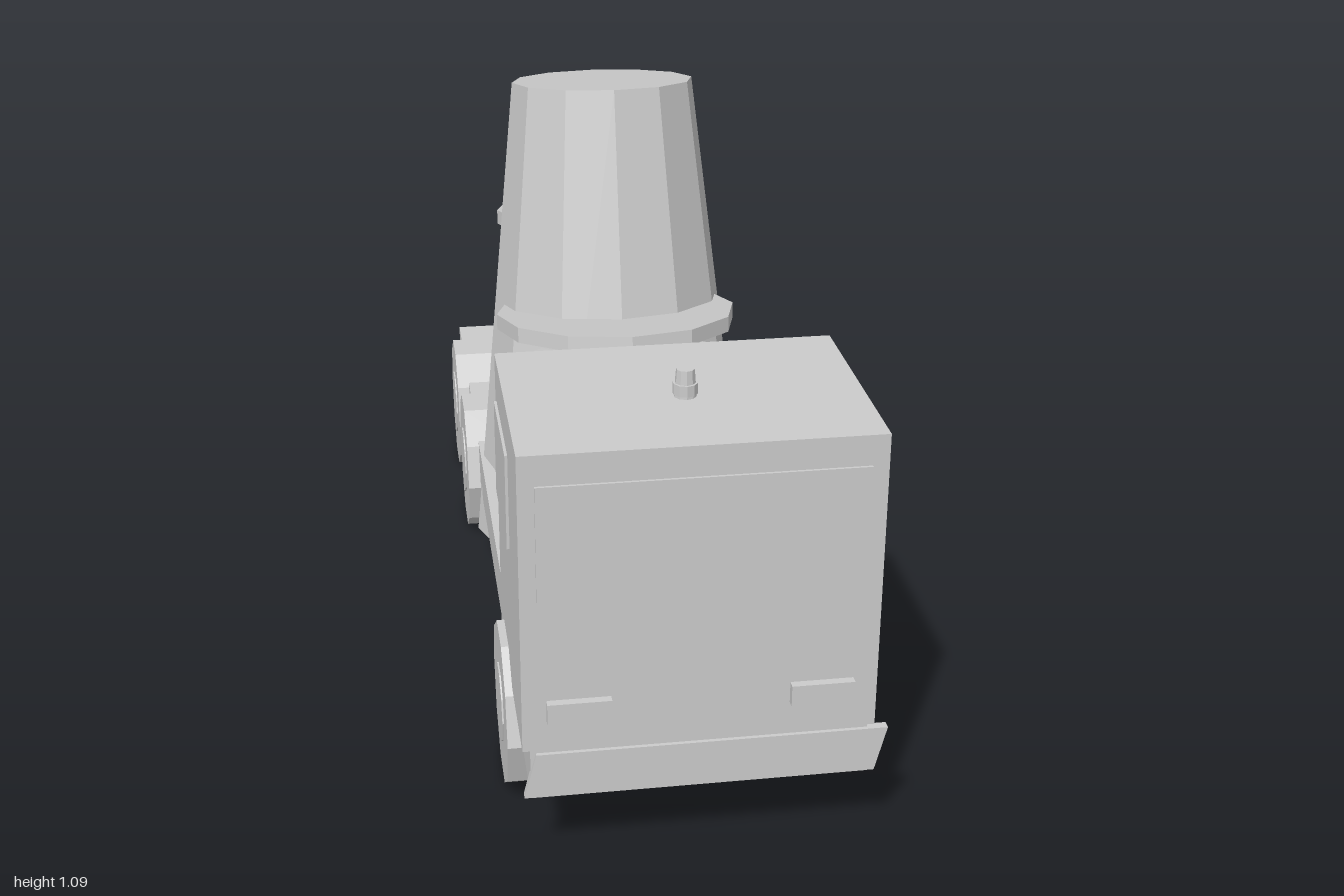
import * as THREE from 'three';

const CX = -0.004; // centre line of the truck body
const TILT = -0.143; // lean of the drum and its discs

export function createModel() {
  const model = new THREE.Group();
  model.name = 'mixerTruck';
  const grey = new THREE.MeshStandardMaterial({ color: 0xcccccc, flatShading: true });

  const add = (name, geometry, x, y, z, parent = model) => {
    const mesh = new THREE.Mesh(geometry, grey);
    mesh.name = name;
    mesh.position.set(x, y, z);
    parent.add(mesh);
    return mesh;
  };
  // Box given by its width and its y and z ranges
  const box = (name, x, width, y0, y1, z0, z1) =>
    add(name, new THREE.BoxGeometry(width, y1 - y0, z1 - z0), x, (y0 + y1) / 2, (z0 + z1) / 2);

  // Chassis and cab
  box('chassis', CX, 0.586, 0.15, 0.245, -0.945, 0.985);
  box('cab', CX, 0.612, 0.245, 0.8, 0.56, 0.985);
  box('windshield', CX, 0.555, 0.525, 0.745, 0.975, 0.99);
  for (const s of [-1, 1]) {
    box('sideWindow', CX + s * 0.304, 0.014, 0.54, 0.718, 0.585, 0.81);
    box('headlight', CX + s * 0.209, 0.11, 0.303, 0.343, 0.98, 1.0);
  }

  // Bumper, skewed sideways
  const bumper = new THREE.BoxGeometry(0.612, 0.085, 0.016);
  const p = bumper.attributes.position;
  for (let i = 0; i < p.count; i++) p.setX(i, p.getX(i) + p.getY(i) * 0.25);
  add('bumper', bumper, 0.008, 0.198, 0.984);

  // Roof beacon
  add('beaconBase', new THREE.CylinderGeometry(0.022, 0.022, 0.02, 10), CX, 0.815, 0.787);
  add('beaconLamp', new THREE.CylinderGeometry(0.016, 0.02, 0.05, 10), CX, 0.825, 0.787);

  // Wheels: ten-sided tyres with thin hubs
  const tyre = new THREE.CylinderGeometry(0.154, 0.154, 0.112, 10).rotateZ(Math.PI / 2);
  const hub = new THREE.CylinderGeometry(0.075, 0.075, 0.118, 10).rotateZ(Math.PI / 2);
  for (const z of [0.675, -0.36, -0.694]) {
    for (const s of [-1, 1]) {
      const wheel = new THREE.Group();
      wheel.name = 'wheel';
      wheel.position.set(CX + s * 0.264, 0.1465, z);
      // turn so a corner points forward and a flat lies on the ground
      add('tyre', tyre, 0, 0, 0, wheel);
      add('hub', hub, 0, 0, 0, wheel);
      model.add(wheel);
    }
  }

  // Leaning mixer drum
  const drum = add('drum', new THREE.CylinderGeometry(0.195, 0.305, 1.002, 12), CX, 0.571, -0.219);
  drum.rotation.x = TILT;

  // Discs around the drum: radius, y, z
  const discs = [
    [0.272, 0.57, 0.175],
    [0.255, 0.604, -0.077],
    [0.205, 0.634, -0.36],
    [0.213, 0.67, -0.573],
  ];
  for (const [r, y, z] of discs) {
    const disc = add('drumDisc', new THREE.CylinderGeometry(r, r, 0.032, 12), CX, y, z);
    disc.rotation.x = -TILT * -1;
  }

  // Rear hopper and chute
  box('hopper', CX, 0.172, 0.61, 0.8, -0.945, -0.75);
  box('chute', CX, 0.086, 0.33, 0.635, -1.0, -0.83);

  return model;
}
